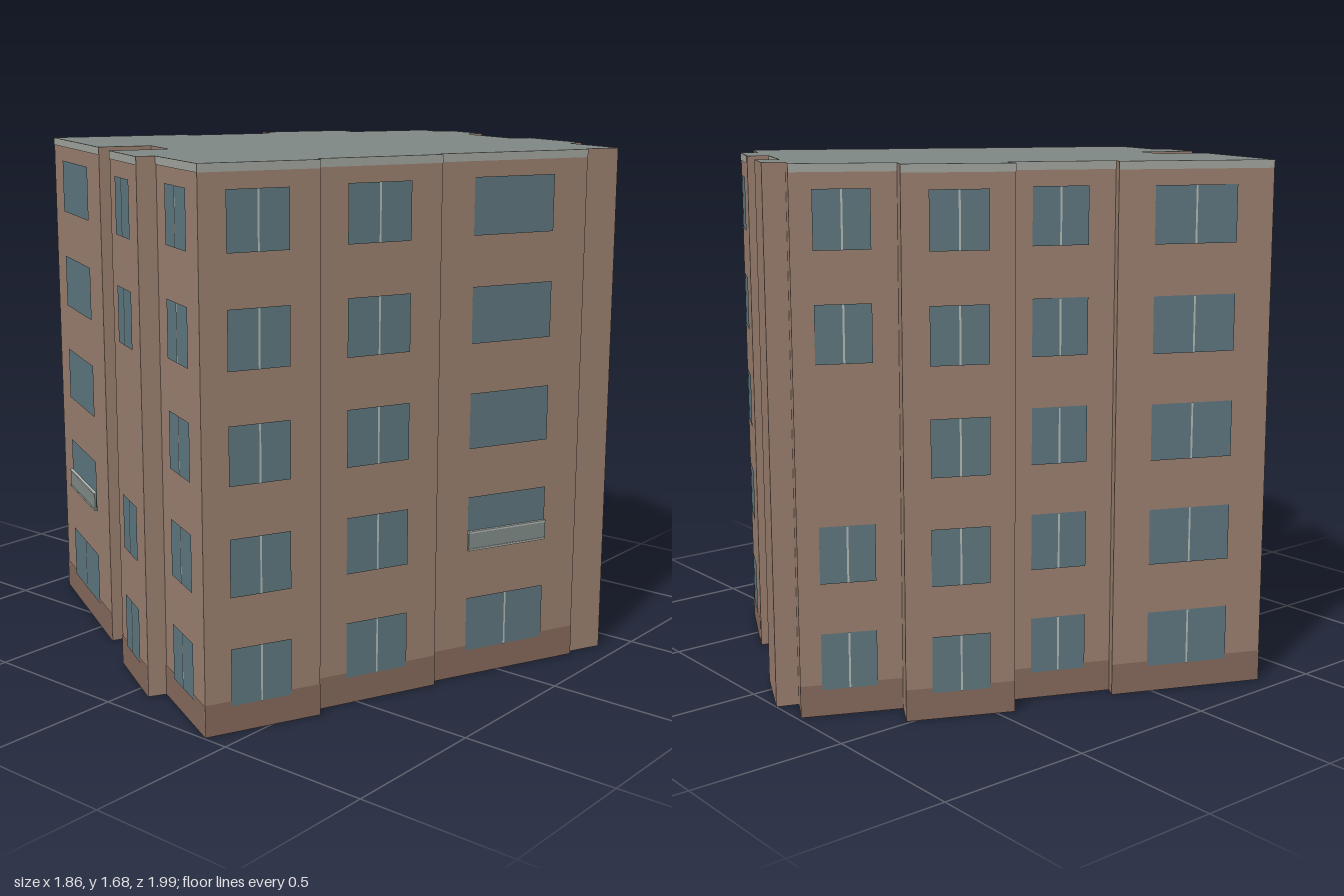
import * as THREE from 'three';

const H = 1.68, FLOORS = 5, PITCH = 0.336, SILL = 0.085, WIN_H = 0.178;

const mat = (color, side = THREE.FrontSide) => new THREE.MeshStandardMaterial({ color, side });
const wallMat = mat(0x9c8070, THREE.DoubleSide);
const roofMat = mat(0x7f8884, THREE.DoubleSide);
const plinthMat = mat(0x876a5d);
const corniceMat = mat(0xa3a79f);
const glassMat = mat(0x5f7880);
const barMat = mat(0xb4bab4);
const panelMat = mat(0x828d89);

// Footprint corners [x, z, facade], walked from the front left round by the right.
// The facade describes the wall that starts at that corner:
// window span along the wall, floors without windows, which floors have a mullion, balcony.
const all = () => true, ground = (f) => f === 0;
const facade = (from, to, extra = {}) => ({ from, to, skip: -1, mullion: all, ...extra });
const wide = { mullion: ground, balcony: true };
const FOOTPRINT = [
  [-0.931, 0.341, facade(0.216, 0.768, wide)],
  [-0.37, 0.638], [-0.296, 0.476], [-0.122, 0.569],
  [-0.198, 0.749, facade(0.23, 0.75, { skip: 2 })],
  [0.069, 0.892],
  [0.098, 0.839, facade(0.24, 0.75)],
  [0.413, 0.992, facade(0.22, 0.74)],
  [0.566, 0.648],
  [0.535, 0.625, facade(0.235, 0.745)],
  [0.698, 0.238],
  [0.675, 0.228, facade(0.235, 0.77, wide)],
  [0.893, -0.271],
  [0.88, -0.28], [0.931, -0.394], [0.667, -0.532],
  [0.683, -0.59, facade(0.23, 0.75)],
  [0.381, -0.743],
  [0.354, -0.675, facade(0.23, 0.75)],
  [0.042, -0.828], [0.074, -0.897], [-0.138, -1.0], [-0.164, -0.934],
  [-0.26, -0.987, facade(0.21, 0.75, { skip: 2 })],
  [-0.397, -0.7],
  [-0.487, -0.754, facade(0.24, 0.77)],
  [-0.635, -0.447],
  [-0.55, -0.41, facade(0.23, 0.75)],
  [-0.688, -0.098],
  [-0.725, -0.12, facade(0.23, 0.76)],
];

// Flat panel in wall space: x along the wall, y up, z outwards
function panel(name, material, x0, x1, y0, y1, z) {
  const m = new THREE.Mesh(new THREE.PlaneGeometry(x1 - x0, y1 - y0), material);
  m.position.set((x0 + x1) / 2, (y0 + y1) / 2, z);
  m.name = name;
  return m;
}

function slab(name, material, x0, x1, y0, y1, depth, z) {
  const m = new THREE.Mesh(new THREE.BoxGeometry(x1 - x0, y1 - y0, depth), material);
  m.position.set((x0 + x1) / 2, (y0 + y1) / 2, z);
  m.name = name;
  return m;
}

function buildFacade(group, length, f) {
  const x0 = f.from * length, x1 = f.to * length, mid = (x0 + x1) / 2;
  group.add(panel('plinth', plinthMat, 0, length, 0, 0.1, 0.002));
  group.add(panel('cornice', corniceMat, 0, length, H - 0.025, H, 0.002));
  for (let i = 0; i < FLOORS; i++) {
    if (i === f.skip) continue;
    const y = SILL + i * PITCH;
    group.add(panel('window', glassMat, x0, x1, y, y + WIN_H, 0.004));
    if (f.mullion(i)) group.add(panel('mullion', barMat, mid - 0.003, mid + 0.003, y, y + WIN_H, 0.006));
  }
  // Shallow railing in front of the first upper floor window
  if (f.balcony) {
    group.add(slab('balconyPanel', panelMat, x0, x1, 0.425, 0.485, 0.006, 0.009));
    for (const y of [0.424, 0.482]) group.add(slab('balconyRail', barMat, x0, x1, y, y + 0.006, 0.01, 0.01));
  }
}

export function createModel() {
  const model = new THREE.Group();
  model.name = 'apartmentBlock';

  // Walls, open underneath
  FOOTPRINT.forEach(([x, z, f], i) => {
    const [nx, nz] = FOOTPRINT[(i + 1) % FOOTPRINT.length];
    const length = Math.hypot(nx - x, nz - z);
    const side = new THREE.Group();
    side.name = f ? 'facade' : 'plainWall';
    side.position.set(x, 0, z);
    side.rotation.y = Math.atan2(z - nz, nx - x);
    side.add(panel('wall', wallMat, 0, length, 0, H, 0));
    if (f) buildFacade(side, length, f);
    model.add(side);
  });

  // Flat roof
  const outline = new THREE.Shape(FOOTPRINT.map(([x, z]) => new THREE.Vector2(x, -z)));
  const roof = new THREE.Mesh(new THREE.ShapeGeometry(outline).rotateX(-Math.PI / 2), roofMat);
  roof.position.y = H;
  roof.name = 'roof';
  model.add(roof);

  return model;
}
